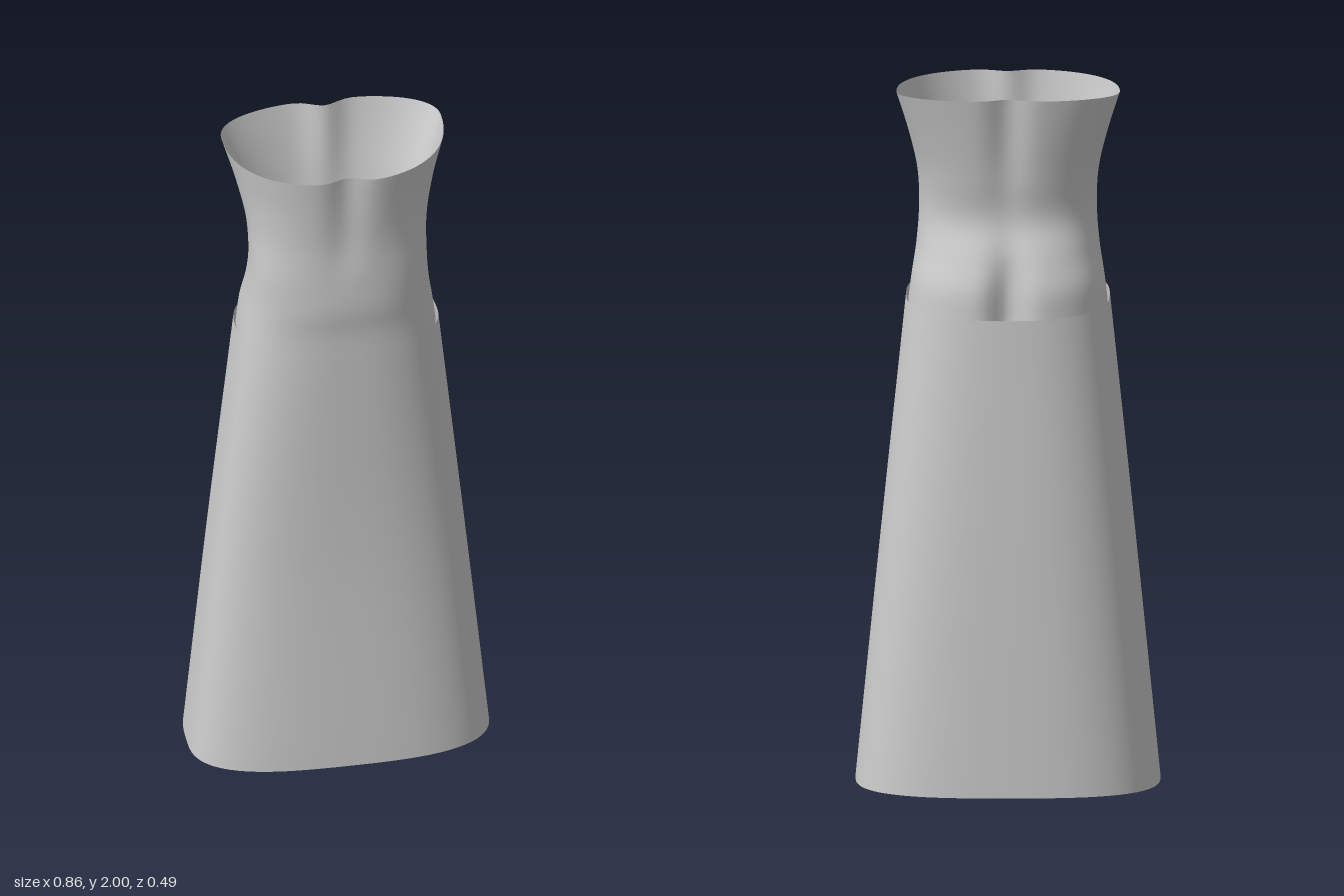
import * as THREE from 'three';

const cloth = new THREE.MeshStandardMaterial({ color: 0xcccccc, side: THREE.DoubleSide });
cloth.name = 'light grey cloth';

const SIDES = 96;

// Rounded-oblong cross-section. y: height at front and back, w: half width,
// mid: depth of the widest line, front/back: depth limits, n: squareness,
// dip/cleft: inward fold at the centre front/back.
function ring({ y: [yFront, yBack], w, mid, front, back, n, dip = 0, cleft = 0 }) {
  return Array.from({ length: SIDES }, (_, i) => {
    const angle = (i / SIDES) * Math.PI * 2;
    const s = Math.sin(angle), c = Math.cos(angle);
    const r = (Math.abs(s) ** n + Math.abs(c) ** n) ** (-1 / n);
    const x = w * s * r;
    const fold = Math.exp(-((x / 0.05) ** 2));
    const z = c > 0
      ? mid + (front - mid) * c * r - dip * fold
      : mid + (mid - back) * c * r + cleft * fold;
    return new THREE.Vector3(x, THREE.MathUtils.lerp(yFront, yBack, (1 - c) / 2), z);
  });
}

// Smooth open tube through the cross-sections, listed from bottom to top
function loft(name, sections, rows) {
  const rings = sections.map(ring);
  const columns = rings[0].map((_, i) =>
    new THREE.CatmullRomCurve3(rings.map((r) => r[i]), false, 'centripetal').getPoints(rows));
  const position = [], index = [];
  for (let j = 0; j <= rows; j++) {
    for (let i = 0; i < SIDES; i++) {
      position.push(...columns[i][j].toArray());
      if (j === rows) continue;
      const a = j * SIDES + i, b = j * SIDES + ((i + 1) % SIDES);
      index.push(a, b, b + SIDES, a, b + SIDES, a + SIDES);
    }
  }
  const geometry = new THREE.BufferGeometry();
  geometry.setAttribute('position', new THREE.Float32BufferAttribute(position, 3));
  geometry.setIndex(index);
  geometry.computeVertexNormals();
  const mesh = new THREE.Mesh(geometry, cloth);
  mesh.name = name;
  return mesh;
}

export function createModel() {
  const group = new THREE.Group();
  group.name = 'dress';

  // Long flared skirt, open at both ends
  group.add(loft('skirt', [
    { y: [0, 0], w: 0.43, mid: 0.04, front: 0.243, back: -0.243, n: 2.9 },
    { y: [0.7, 0.7], w: 0.36, mid: 0.035, front: 0.217, back: -0.225, n: 2.8 },
    { y: [1.43, 1.37], w: 0.287, mid: 0.03, front: 0.228, back: -0.2, n: 2.6 },
  ], 16));

  // Fitted bodice: full hips with a centre-back cleft, narrow waist, flared neckline
  group.add(loft('bodice', [
    { y: [1.4, 1.36], w: 0.281, mid: 0.03, front: 0.203, back: -0.203, n: 2.5, cleft: 0.045 },
    { y: [1.46, 1.45], w: 0.272, mid: 0.03, front: 0.205, back: -0.197, n: 2.5, cleft: 0.042 },
    { y: [1.54, 1.54], w: 0.259, mid: 0.045, front: 0.213, back: -0.168, n: 2.4, cleft: 0.02 },
    { y: [1.64, 1.64], w: 0.251, mid: 0.055, front: 0.212, back: -0.13, n: 2.5, cleft: 0.006 },
    { y: [1.76, 1.76], w: 0.255, mid: 0.03, front: 0.213, back: -0.145, n: 2.4, dip: 0.01, cleft: 0.014 },
    { y: [1.88, 1.88], w: 0.28, mid: -0.01, front: 0.224, back: -0.165, n: 2.3, dip: 0.019, cleft: 0.024 },
    { y: [2, 2], w: 0.315, mid: -0.045, front: 0.237, back: -0.184, n: 2.3, dip: 0.027, cleft: 0.03 },
  ], 30));

  return group;
}
